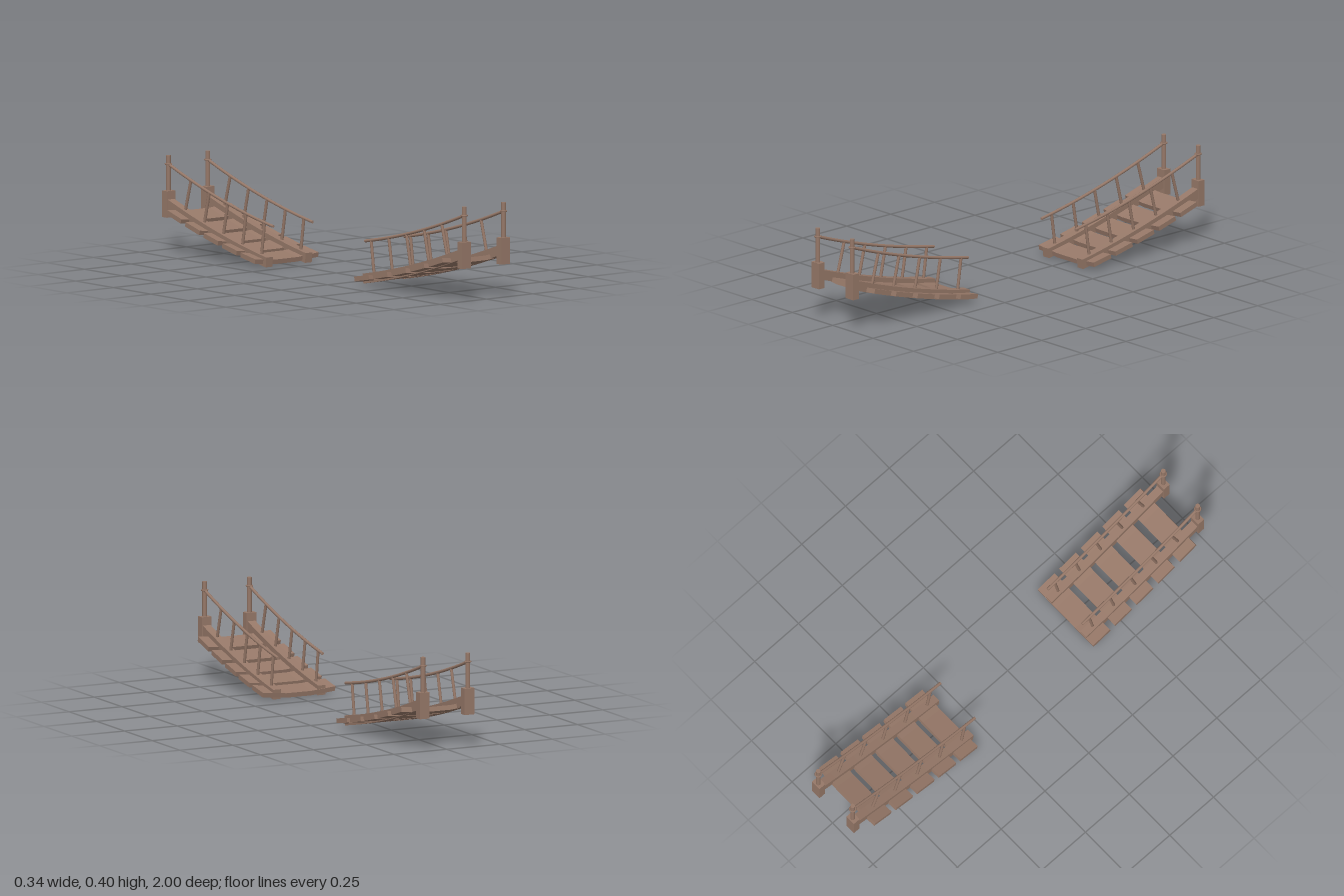
import * as THREE from 'three';

const wood = new THREE.MeshStandardMaterial({ color: 0x967868 });
const flatWood = new THREE.MeshStandardMaterial({ color: 0x967868, flatShading: true });

// Sagging curves: height of the deck underside and of the hand rope at distance z
const deckY = z => 0.007 + 0.17 * (z - 0.335) + 0.13 * (z - 0.335) ** 2;
const deckSlope = z => 0.17 + 0.26 * (z - 0.335);
const ropeY = z => 0.182 + 0.176 * (z - 0.325) + 0.148 * (z - 0.325) ** 2;

function add(parent, name, geometry, material = wood) {
  const mesh = new THREE.Mesh(geometry, material);
  mesh.name = name;
  parent.add(mesh);
  return mesh;
}

// Cylinder between two points
function rod(parent, name, a, b, radius, sides = 8) {
  const dir = b.clone().sub(a);
  const mesh = add(parent, name, new THREE.CylinderGeometry(radius, radius, dir.length(), sides));
  mesh.position.copy(a).add(b).multiplyScalar(0.5);
  mesh.quaternion.setFromUnitVectors(new THREE.Vector3(0, 1, 0), dir.normalize());
  return mesh;
}

// Plank with a flat middle and ends bent slightly upward
function plankGeometry(length) {
  const w = 0.171, flat = 0.06, rise = 0.011, t = 0.02;
  const shape = new THREE.Shape([
    [-w, rise], [-flat, 0], [flat, 0], [w, rise],
    [w, rise + t], [flat, t], [-flat, t], [-w, rise + t],
  ].map(p => new THREE.Vector2(...p)));
  const g = new THREE.ExtrudeGeometry(shape, { depth: length, bevelEnabled: false });
  return g.translate(0, 0, -length / 2);
}

// Curved side beam running from the broken end up to the post
function beamGeometry(end) {
  const low = [], high = [], n = 10, width = 0.036;
  for (let i = 0; i <= n; i++) {
    const s = i / n, z = end + (0.972 - end) * s;
    const y = deckY(z) - 0.003 + 0.009 * s;
    low.push(new THREE.Vector2(z, y));
    high.unshift(new THREE.Vector2(z - 0.004, y + 0.042));
  }
  const g = new THREE.ExtrudeGeometry(new THREE.Shape([...low, ...high]), { depth: width, bevelEnabled: false });
  return g.translate(0, 0, -width / 2).rotateY(-Math.PI / 2);
}

// One half of the bridge, built toward +z
function bridgeHalf(name, turned, beamEnd, ropeEnd) {
  const half = new THREE.Group();
  half.name = name;
  const flip = turned ? -1 : 1;

  for (let i = 0; i < 5; i++) {
    const z = 0.383 + i * 0.1235;
    const plank = add(half, 'plank', plankGeometry(0.098), flatWood);
    plank.position.set(0, deckY(z), z);
    plank.rotation.x = -Math.atan(deckSlope(z));
  }

  for (const side of [0.104, -0.108]) {
    const x = side * flip;

    // Post with its square base and rope ring
    const base = add(half, 'postBase', new THREE.BoxGeometry(0.046, 0.112, 0.033), flatWood);
    base.position.set(x, 0.195, 0.9835);
    rod(half, 'post', new THREE.Vector3(x, 0.24, 0.985), new THREE.Vector3(x, 0.4, 0.985), 0.01, 12);
    const ring = add(half, 'ropeRing', new THREE.TorusGeometry(0.0125, 0.0035, 6, 16));
    ring.rotation.x = Math.PI / 2;
    ring.position.set(x, 0.363, 0.985);

    add(half, 'sideBeam', beamGeometry(beamEnd), flatWood).position.x = x;

    // Hand rope
    const points = [];
    for (let i = 0; i <= 8; i++) {
      const z = ropeEnd + (0.98 - ropeEnd) * i / 8;
      points.push(new THREE.Vector3(x, ropeY(z), z));
    }
    add(half, 'handRope', new THREE.TubeGeometry(new THREE.CatmullRomCurve3(points), 24, 0.0065, 8));
    for (const [p, facing] of [[points[0], Math.PI], [points[8], 0]]) {
      const cap = add(half, 'ropeEnd', new THREE.CircleGeometry(0.0065, 8));
      cap.position.copy(p);
      cap.rotation.y = facing;
    }

    // Leaning balusters
    for (let i = 0; i < 5; i++) {
      const s = i / 4, z = THREE.MathUtils.lerp(beamEnd + 0.05, 0.875, s);
      const top = z - 0.02 - 0.02 * s;
      rod(half, 'baluster', new THREE.Vector3(x, deckY(z) + 0.03, z),
        new THREE.Vector3(x, ropeY(top), top), 0.0065);
    }
  }
  if (turned) half.rotation.y = Math.PI;
  return half;
}

export function createModel() {
  const model = new THREE.Group();
  model.name = 'brokenBridge';
  model.add(bridgeHalf('frontHalf', false, 0.335, 0.325));
  model.add(bridgeHalf('backHalf', true, 0.315, 0.287));
  return model;
}
